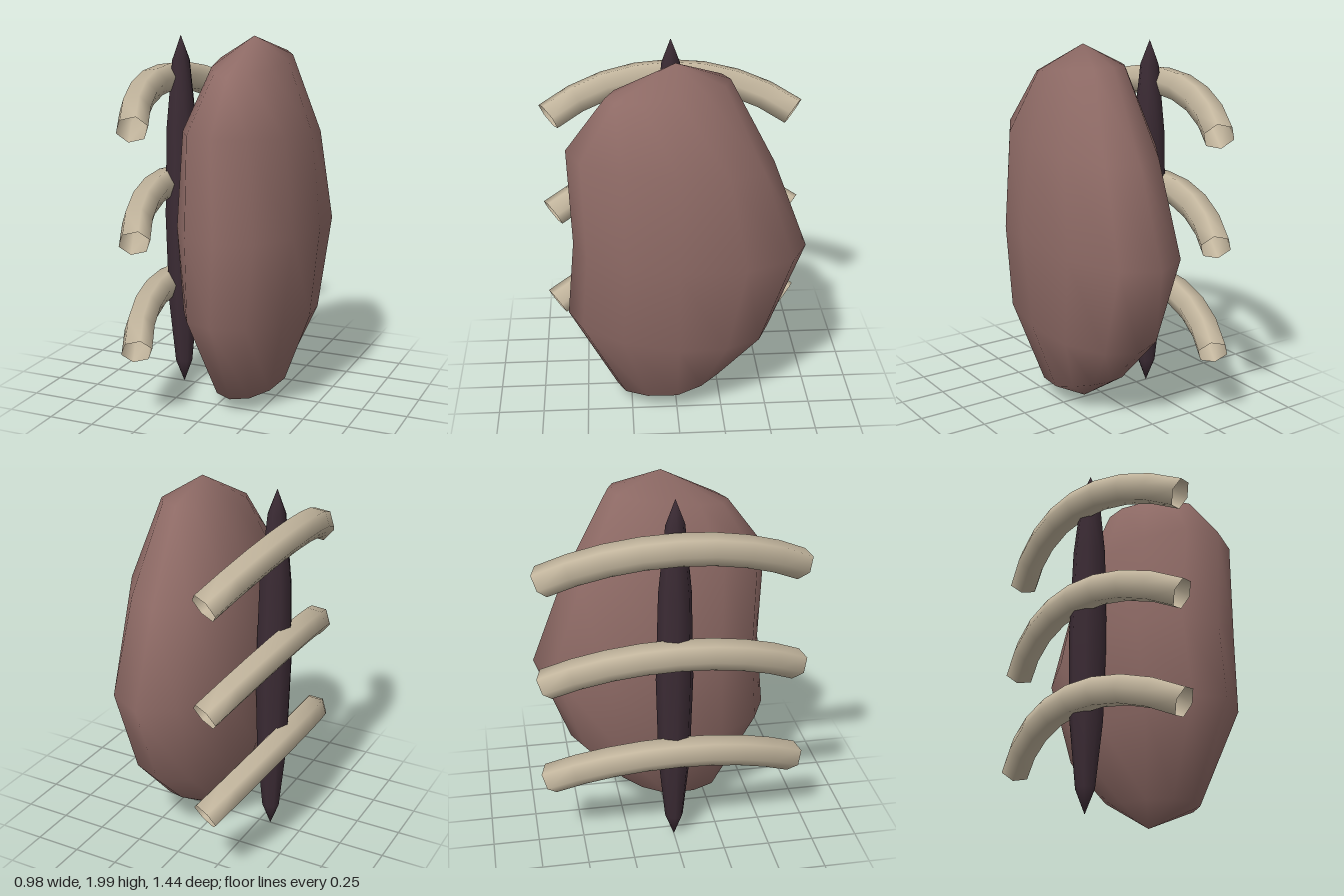
import * as THREE from 'three';
import { mergeVertices } from 'three/addons/utils/BufferGeometryUtils.js';

const bodyMat = new THREE.MeshStandardMaterial({ color: 0x8f6b66 });
bodyMat.name = 'dusty rose';
const spineMat = new THREE.MeshStandardMaterial({ color: 0x3b2b34 });
spineMat.name = 'dark plum';
const ribMat = new THREE.MeshStandardMaterial({ color: 0xc2b59d, side: THREE.DoubleSide });
ribMat.name = 'bone';

// Smooth normals across the seam
function smooth(geometry) {
  geometry.deleteAttribute('uv');
  geometry.deleteAttribute('normal');
  const merged = mergeVertices(geometry, 1e-4);
  merged.computeVertexNormals();
  return merged;
}

// Rings from top to bottom: [front z, front y, side y, back z, back y]
const rings = [
  [0, 2.0, 2.0, 0, 2.0],
  [0.36, 1.82, 1.88, 0.28, 1.91],
  [0.57, 1.54, 1.5, 0.52, 1.45],
  [0.55, 1.0, 1.0, 0.71, 0.95],
  [0.59, 0.57, 0.5, 0.52, 0.45],
  [0.33, 0.09, 0.12, 0.27, 0.2],
  [0, 0.02, 0.02, 0, 0.02],
];

// Flattened sphere with an uneven front and back outline
function bodyGeometry() {
  const geometry = new THREE.SphereGeometry(1, 12, 6);
  const pos = geometry.attributes.position;
  for (let i = 0; i < pos.count; i++) {
    const theta = Math.acos(THREE.MathUtils.clamp(pos.getY(i), -1, 1));
    const [zf, yf, ySide, zb, yb] = rings[Math.round(theta / (Math.PI / 6))];
    const k = pos.getZ(i) / Math.max(Math.sin(theta), 1e-6);
    const y = THREE.MathUtils.lerp(ySide, k > 0 ? yf : yb, Math.min(Math.abs(k), 1));
    pos.setXYZ(i, 0.11 + 0.38 * pos.getX(i), y, k * (k > 0 ? zf : zb));
  }
  return smooth(geometry);
}

// Open arc of six-sided tube, bowed up and outward, ends pointing inward
function ribGeometry() {
  const radius = 1.09, half = 0.66;
  const geometry = new THREE.TorusGeometry(radius, 0.083, 6, 8, half * 2);
  geometry.rotateZ(-half);
  geometry.translate(-radius, 0, 0);
  const out = new THREE.Vector3(-0.62, 0.785, 0).normalize();
  const along = new THREE.Vector3(0, 0, 1);
  const across = new THREE.Vector3().crossVectors(out, along);
  geometry.applyMatrix4(new THREE.Matrix4().makeBasis(out, along, across));
  return smooth(geometry);
}

export function createModel() {
  const model = new THREE.Group();
  model.name = 'model';

  const body = new THREE.Mesh(bodyGeometry(), bodyMat);
  body.name = 'body';
  model.add(body);

  // Spindle standing between the body and the ribs
  const spine = new THREE.Mesh(smooth(new THREE.SphereGeometry(1, 8, 6).scale(0.1, 0.99, 0.1)), spineMat);
  spine.name = 'spine';
  spine.position.set(-0.318, 1, 0);
  model.add(spine);

  const ribs = new THREE.Group();
  ribs.name = 'ribs';
  const geometry = ribGeometry();
  for (let i = 0; i < 3; i++) {
    const rib = new THREE.Mesh(geometry, ribMat);
    rib.name = 'rib' + (i + 1);
    rib.position.set(-0.408, 0.6 + i * 0.58, 0);
    ribs.add(rib);
  }
  model.add(ribs);
  return model;
}
